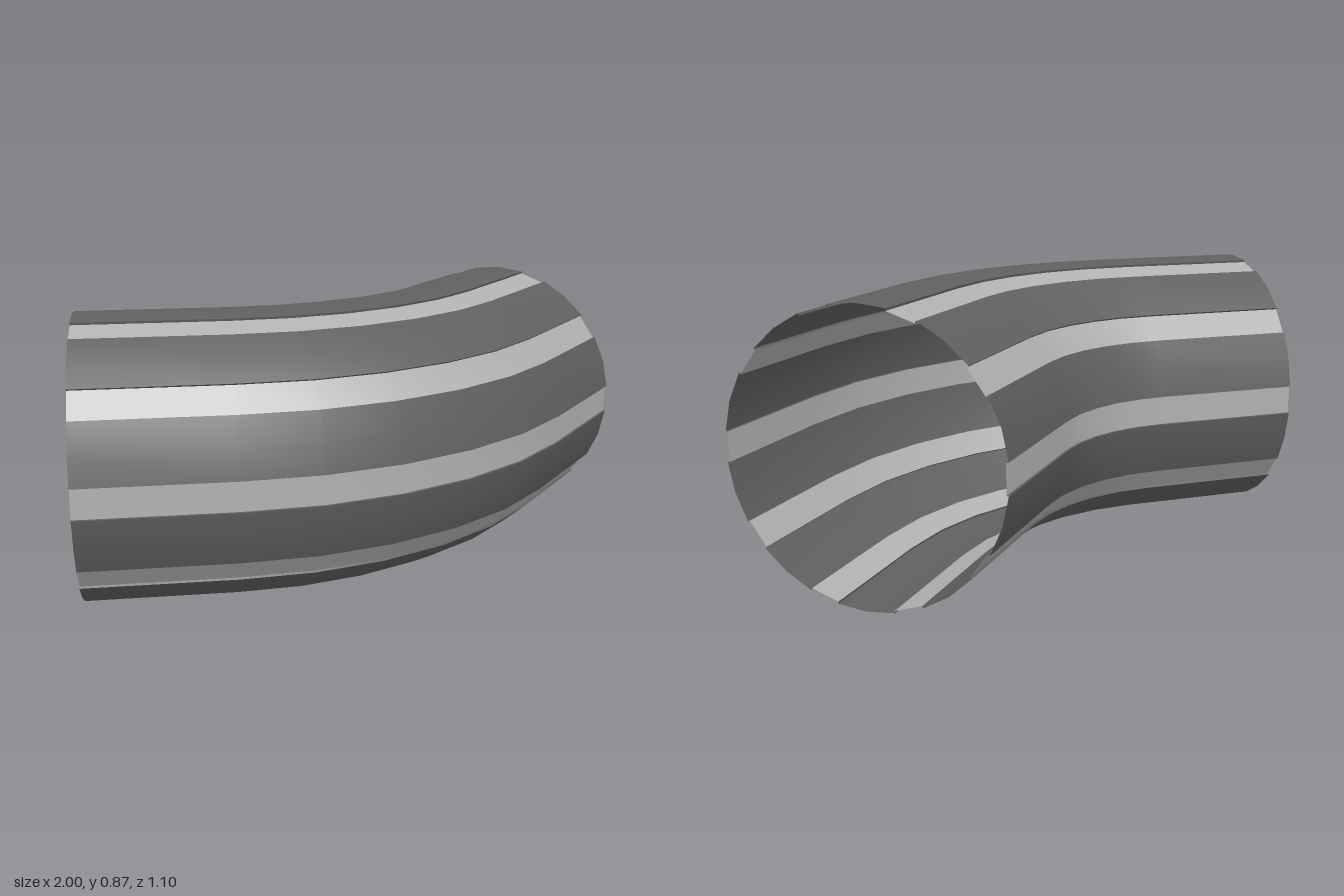
import * as THREE from 'three';

const CENTER_Y = 0.436, RADIUS = 0.436, RECESS = 0.007;
const BEND = 0.956;      // bend radius of the tube axis
const STRAIGHT = 0.455;  // length of the straight run at either end
const rad = THREE.MathUtils.degToRad;

// Stations along the axis: straight end, five bend segments, straight end
function stations() {
  const list = [];
  for (const a of [-25, -15, -5, 5, 15, 25]) list.push({ a: rad(a), run: 0 });
  list.unshift({ a: rad(-25), run: -STRAIGHT });
  list.push({ a: rad(25), run: STRAIGHT });
  return list;
}

// Sweep a short cross-section of [degrees, radius] points along the bend
function sweep(profile) {
  const pivotZ = 0.548 - (BEND + RADIUS * Math.cos(rad(6))) * Math.cos(rad(5));
  const positions = [], index = [];
  const rings = stations();
  const n = profile.length;
  rings.forEach(({ a, run }, i) => {
    for (const [deg, r] of profile) {
      const out = BEND + r * Math.cos(rad(deg));
      positions.push(
        out * Math.sin(a) + run * Math.cos(a),
        CENTER_Y + r * Math.sin(rad(deg)),
        pivotZ + out * Math.cos(a) - run * Math.sin(a));
    }
    if (i === rings.length - 1) return;
    for (let j = 0; j < n - 1; j++) {
      const p = i * n + j, q = p + n;
      index.push(p, q, p + 1, q, q + 1, p + 1);
    }
  });
  const geometry = new THREE.BufferGeometry();
  geometry.setAttribute('position', new THREE.Float32BufferAttribute(positions, 3));
  geometry.setIndex(index);
  geometry.computeVertexNormals();
  return geometry;
}

export function createModel() {
  const group = new THREE.Group();
  group.name = 'bentTube';
  const dark = new THREE.MeshStandardMaterial({ color: 0x606060, side: THREE.DoubleSide });
  dark.name = 'dark grey';
  const light = new THREE.MeshStandardMaterial({ color: 0xb0b2b0, side: THREE.DoubleSide });
  light.name = 'light grey';

  const add = (name, profile, material) => {
    const mesh = new THREE.Mesh(sweep(profile), material);
    mesh.name = name;
    group.add(mesh);
  };

  // Ten recessed light strips alternate with ten curved dark panels
  const inner = RADIUS - RECESS;
  for (let k = 0; k < 10; k++) {
    const d = k * 36;
    add('lightStrip', [[d - 6, inner], [d + 6, inner]], light);
    add('darkPanel', [[d + 6, RADIUS], [d + 18, RADIUS], [d + 30, RADIUS]], dark);
    // Narrow steps joining the strip to its neighbours
    add('stripStep', [[d - 6, RADIUS], [d - 6, inner]], dark);
    add('stripStep', [[d + 6, inner], [d + 6, RADIUS]], dark);
  }
  return group;
}
